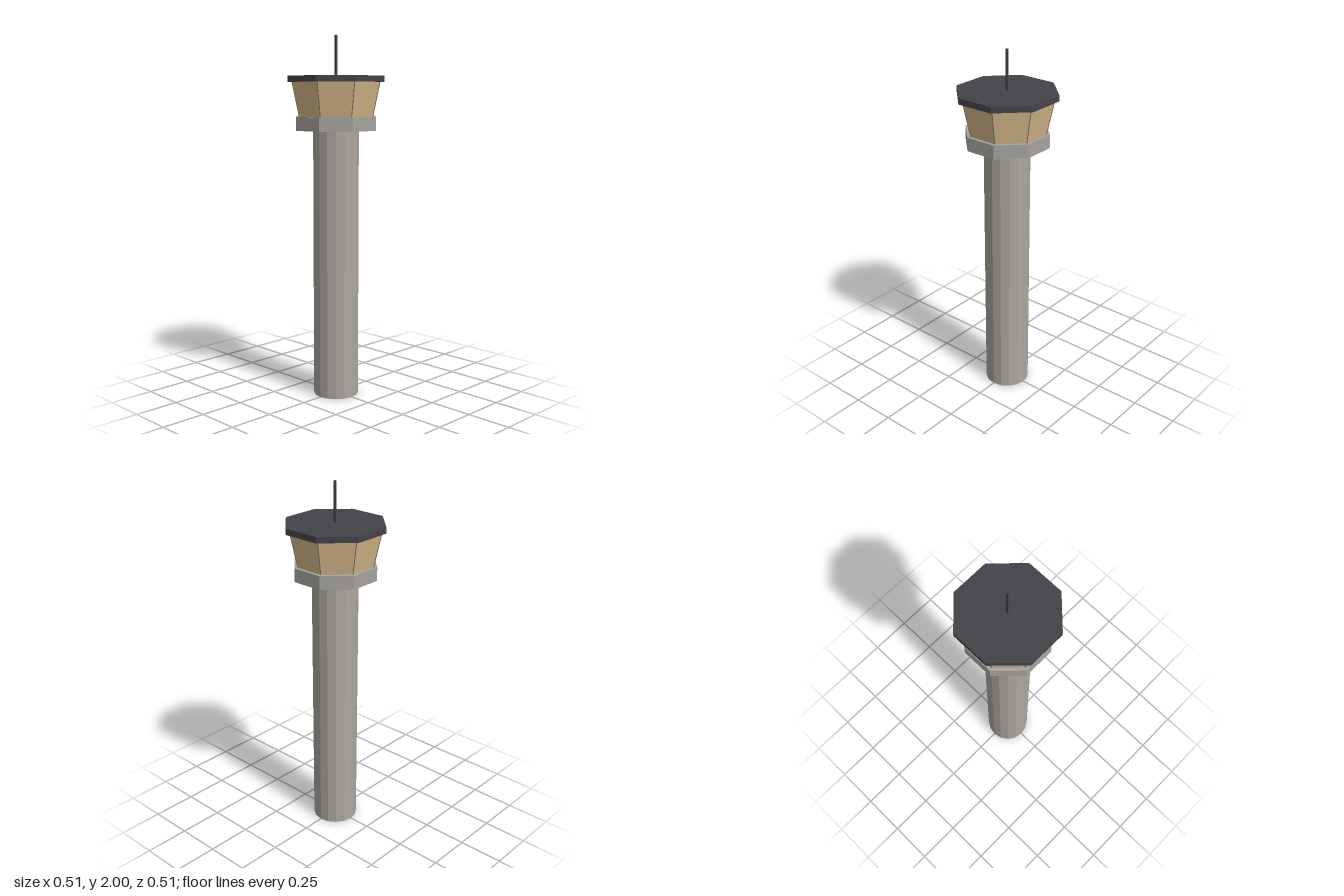
import * as THREE from 'three';

const material = (name, color, extra = {}) => {
  const m = new THREE.MeshStandardMaterial({ color, flatShading: true, ...extra });
  m.name = name;
  return m;
};

export function createModel() {
  const group = new THREE.Group();
  const concrete = material('warm concrete', 0xaca79e, { side: THREE.DoubleSide });
  const stone = material('grey concrete', 0xa5a39b);
  const glass = material('amber glass', 0xd9b98b);
  const dark = material('dark metal', 0x444348);
  const frame = material('grey frame', 0x6e6c6a);

  const add = (name, geometry, mat, y = 0) => {
    const mesh = new THREE.Mesh(geometry, mat);
    mesh.name = name;
    mesh.position.y = y;
    group.add(mesh);
    return mesh;
  };

  // Octagonal drum with a flat side to the front; sizes are centre-to-flat
  const toCorner = 1 / Math.cos(Math.PI / 8);
  const octagon = (name, top, bottom, y0, y1, mat) =>
    add(name, new THREE.CylinderGeometry(top * toCorner, bottom * toCorner, y1 - y0, 8)
      .rotateY(Math.PI / 8), mat, (y0 + y1) / 2);

  // Hollow shaft, open at the foot
  add('shaft', new THREE.CylinderGeometry(0.125, 0.125, 1.49, 16, 1, true), concrete, 0.745);

  // Control room stack
  octagon('galleryBase', 0.215, 0.215, 1.49, 1.565, stone);
  octagon('cabinWindows', 0.234, 0.197, 1.565, 1.75, glass);
  octagon('roof', 0.256, 0.256, 1.75, 1.783, dark);

  // Slim posts along the cabin corners
  for (let i = 0; i < 8; i++) {
    const a = (i + 0.5) * Math.PI / 4;
    const corner = (r, y) =>
      new THREE.Vector3(Math.sin(a) * r * toCorner, y, Math.cos(a) * r * toCorner);
    const path = new THREE.LineCurve3(corner(0.197, 1.565), corner(0.234, 1.75));
    add('windowPost', new THREE.TubeGeometry(path, 1, 0.003, 4), frame);
  }

  // Mast
  add('antenna', new THREE.BoxGeometry(0.011, 0.217, 0.011), dark, 1.8915);

  return group;
}
